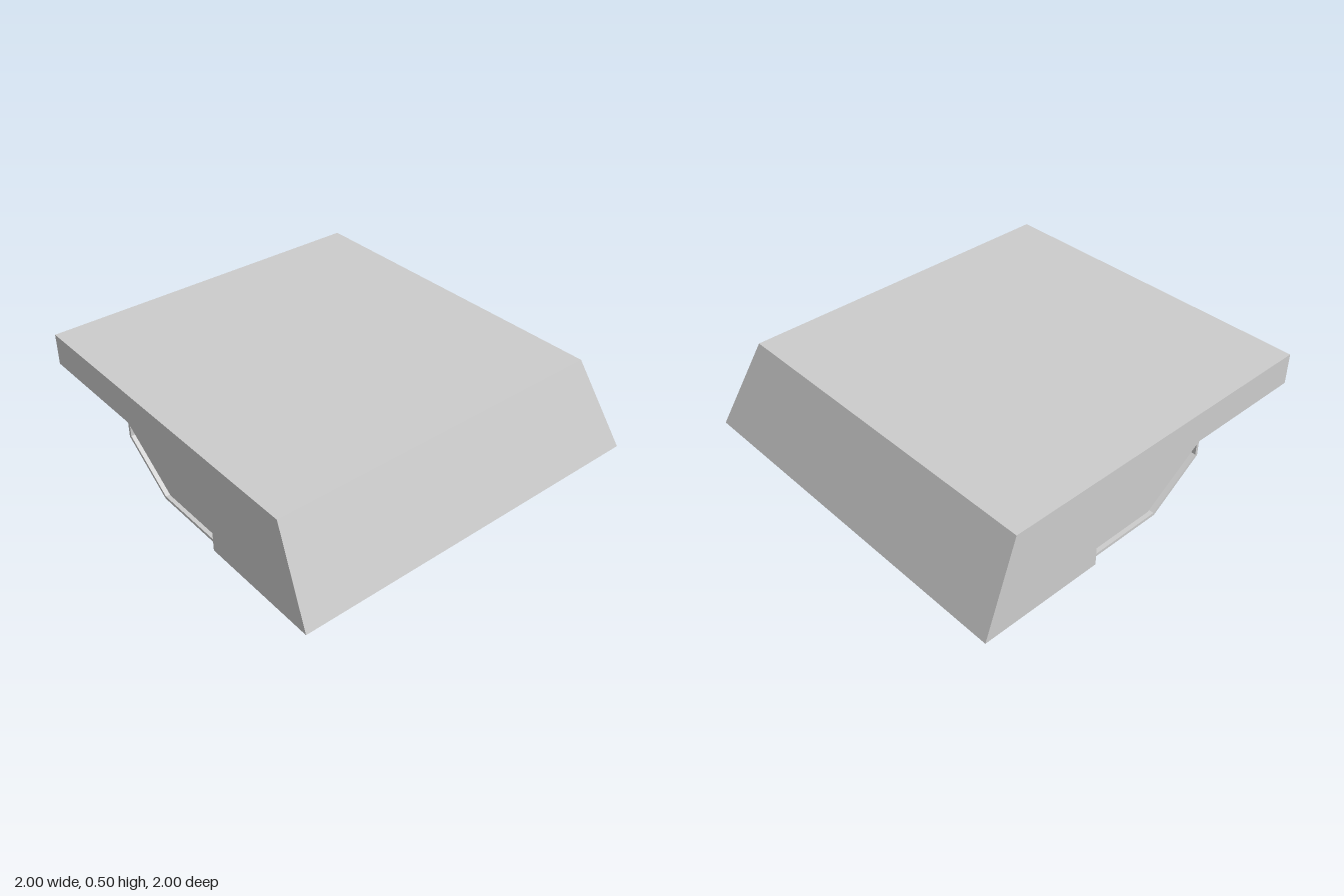
import * as THREE from 'three';

const material = new THREE.MeshStandardMaterial({ color: 0xcccccc });

// Mirror a geometry across the diagonal plane x = z, keeping its faces outward
function swapXZ(geo) {
  const src = geo.index ? geo.toNonIndexed() : geo;
  const out = new THREE.BufferGeometry();
  for (const name of ['position', 'normal']) {
    const a = src.attributes[name], data = [];
    for (let i = 0; i < a.count; i += 3)
      for (const j of [i, i + 2, i + 1]) data.push(a.getZ(j), a.getY(j), a.getX(j));
    out.setAttribute(name, new THREE.Float32BufferAttribute(data, 3));
  }
  return out;
}

// One leg of a profile swept along z and mitred at the diagonal
function mitredLeg(profile) {
  const data = [];
  for (let i = 0; i < profile.length - 1; i++) {
    const [u0, y0] = profile[i], [u1, y1] = profile[i + 1];
    const a0 = [u0, y0, -1], a1 = [u1, y1, -1], b0 = [u0, y0, u0], b1 = [u1, y1, u1];
    if (u1 > -1) data.push(...a0, ...b1, ...a1);
    if (u0 > -1) data.push(...a0, ...b0, ...b1);
  }
  const geo = new THREE.BufferGeometry();
  geo.setAttribute('position', new THREE.Float32BufferAttribute(data, 3));
  geo.computeVertexNormals();
  return geo;
}

// Outline in x, y extruded from z0 to z1
function slab(points, z0, z1) {
  const shape = new THREE.Shape(points.map(p => new THREE.Vector2(...p)));
  return new THREE.ExtrudeGeometry(shape, { depth: z1 - z0, bevelEnabled: false }).translate(0, 0, z0);
}

function box(x0, x1, y0, y1, z0, z1) {
  return new THREE.BoxGeometry(x1 - x0, y1 - y0, z1 - z0)
    .translate((x0 + x1) / 2, (y0 + y1) / 2, (z0 + z1) / 2);
}

function rod(radius, x, y, z0, z1) {
  return new THREE.CylinderGeometry(radius, radius, z1 - z0, 16)
    .rotateX(Math.PI / 2).translate(x, y, (z0 + z1) / 2);
}

export function createModel() {
  const model = new THREE.Group();
  const add = (name, geo) => {
    const mesh = new THREE.Mesh(geo, material);
    mesh.name = name;
    model.add(mesh);
  };
  const pair = (name, geo) => {
    add(name + 'Back', geo);
    add(name + 'Left', swapXZ(geo));
  };

  // Top, sloping sides, foot, pipe trench and raised underside
  pair('body', mitredLeg([
    [-1, 0.5], [0.83, 0.5], [1, 0], [0.34, 0], [0.34, 0.07], [0.28, 0.07],
    [0.23, 0.2], [-0.05, 0.25], [-0.33, 0.33], [-1, 0.33],
  ]));

  // Flat walls on the two cut sides, closing the trench ends
  pair('endWall', slab([
    [1, 0], [0.83, 0.5], [-1, 0.5], [-1, 0.33], [-0.33, 0.33], [0, 0.1], [0.34, 0.1], [0.34, 0],
  ], -1, -0.86));

  // Thin angular trim hanging under each trench end
  pair('trenchTrim', slab([
    [0.34, 0.05], [0.2, 0.05], [-0.05, 0.05], [-0.33, 0.25], [-0.33, 0.33],
    [-0.315, 0.33], [-0.315, 0.26], [-0.045, 0.065], [0.2, 0.065], [0.34, 0.065],
  ], -1, -0.86));
  pair('trimRib', slab([[0, 0.1], [-0.33, 0.33], [-0.33, 0.25], [-0.05, 0.05], [0.3, 0.05], [0.3, 0.1]], -0.89, -0.86));
  pair('trimBlock', box(0.24, 0.33, 0.03, 0.1, -0.97, -0.88));

  // Pipes with thicker sleeves and rounded elbows
  pair('outerPipe', rod(0.04, 0.02, 0.17, -0.86, 0.02));
  pair('outerPipeSleeve', rod(0.052, 0.02, 0.17, -0.66, -0.05));
  pair('innerPipe', rod(0.032, -0.25, 0.26, -0.86, -0.25));
  pair('innerPipeSleeve', rod(0.045, -0.25, 0.26, -0.72, -0.4));
  add('outerPipeElbow', new THREE.SphereGeometry(0.052, 16, 12).translate(0.02, 0.17, 0.02));
  add('innerPipeElbow', new THREE.SphereGeometry(0.045, 16, 12).translate(-0.25, 0.26, -0.25));

  // Brackets along the trench
  for (const z of [-0.78, -0.5, -0.22]) pair('trenchBracket', box(0.2, 0.27, 0.09, 0.2, z - 0.03, z + 0.03));

  // Edge strips on the raised underside
  pair('edgeStrip', box(-0.37, -0.35, 0.315, 0.34, -0.98, -0.35));

  // Hatch with a square frame and a small inner plate
  pair('hatchFrameOuter', box(-0.98, -0.96, 0.31, 0.34, -0.98, -0.62));
  pair('hatchFrameInner', box(-0.64, -0.62, 0.31, 0.34, -0.98, -0.62));
  add('hatchPlate', box(-0.91, -0.69, 0.32, 0.34, -0.91, -0.69));

  // Row of small studs beside the hatch
  for (let i = 0; i < 4; i++) {
    const z = -0.92 + i * 0.07;
    pair('stud', box(-0.5, -0.46, 0.315, 0.34, z, z + 0.035));
  }

  return model;
}
